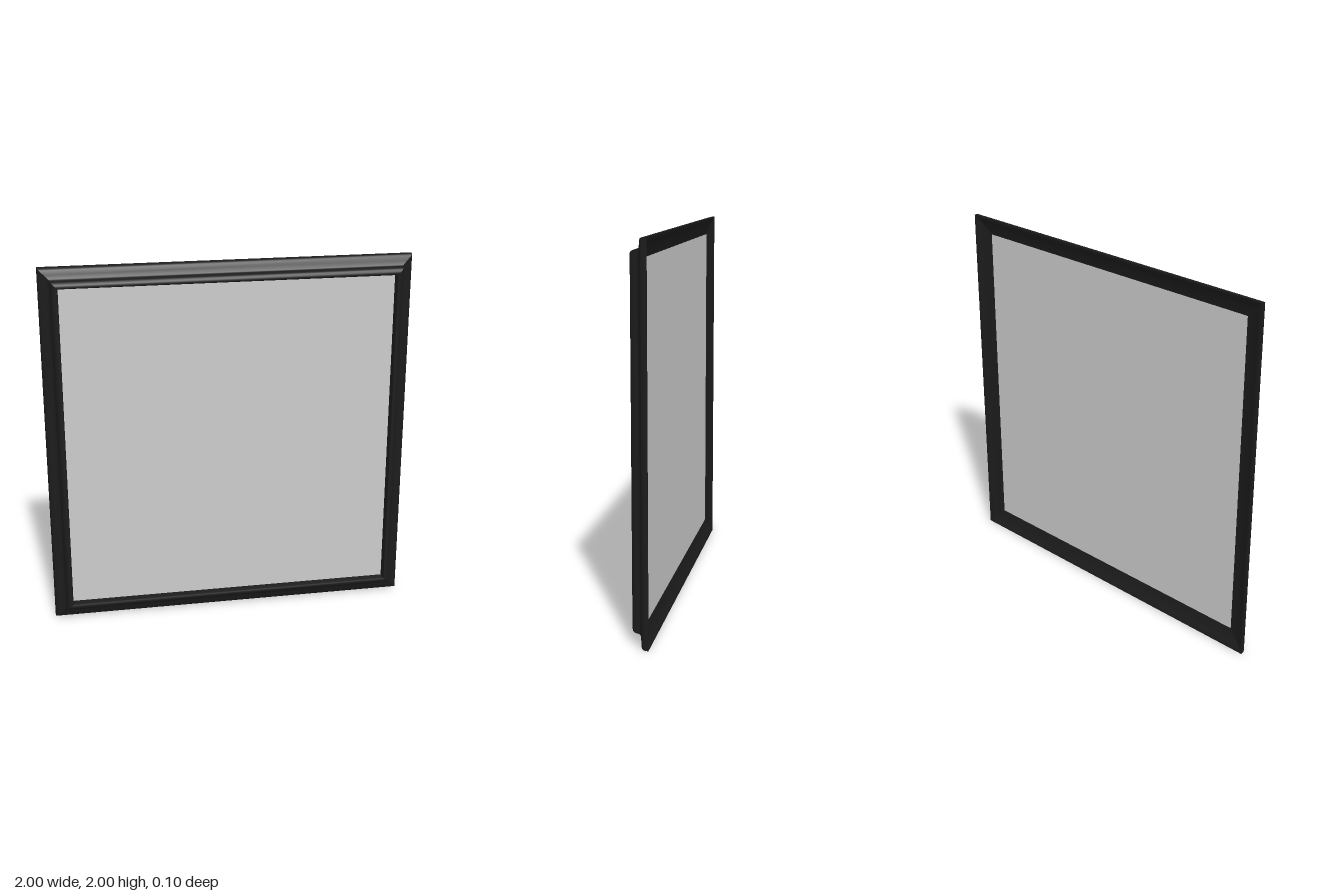
import * as THREE from 'three';
import { toCreasedNormals } from 'three/addons/utils/BufferGeometryUtils.js';

// Moulding cross-section: [inset from the outer edge, z], from outer back round to the back again
const PROFILE = [
  [0, -0.05], [0.002, -0.028], [0.006, -0.019], [0.012, -0.015],
  [0.035, -0.008], [0.055, -0.001], [0.06, 0.004], [0.062, 0.015],
  [0.065, 0.03], [0.071, 0.04], [0.08, 0.046], [0.09, 0.048],
  [0.097, 0.046], [0.1, 0.04], [0.1, -0.02],
  [0.06, -0.027], [0.03, -0.037], [0.008, -0.05], [0, -0.05],
];
const CORNERS = [[-1, -1], [1, -1], [1, 1], [-1, 1]];

// One mitred length of moulding between two corners
function railGeometry(from, to) {
  const at = ([cx, cy], [d, z]) => [cx * (1 - d), 1 + cy * (1 - d), z];
  const pos = [];
  for (let i = 0; i < PROFILE.length - 1; i++) {
    const a = at(from, PROFILE[i]), b = at(to, PROFILE[i]);
    const c = at(to, PROFILE[i + 1]), d = at(from, PROFILE[i + 1]);
    pos.push(...a, ...b, ...c, ...a, ...c, ...d);
  }
  const geo = new THREE.BufferGeometry();
  geo.setAttribute('position', new THREE.Float32BufferAttribute(pos, 3));
  return toCreasedNormals(geo, 0.75);
}

export function createModel() {
  const model = new THREE.Group();
  model.name = 'pictureFrame';
  const black = new THREE.MeshStandardMaterial({ color: 0x1c1c1c });
  const grey = new THREE.MeshStandardMaterial({ color: 0xcccccc });

  // Four moulded sides
  ['bottomRail', 'leftRail', 'topRail', 'rightRail'].forEach((name, k) => {
    const rail = new THREE.Mesh(railGeometry(CORNERS[k], CORNERS[(k + 1) % 4]), black);
    rail.name = name;
    model.add(rail);
  });

  // Flat panel set inside the moulding
  const panel = new THREE.Mesh(new THREE.BoxGeometry(1.802, 1.802, 0.015), grey);
  panel.name = 'panel';
  panel.position.set(0, 1, -0.01);
  model.add(panel);

  return model;
}
